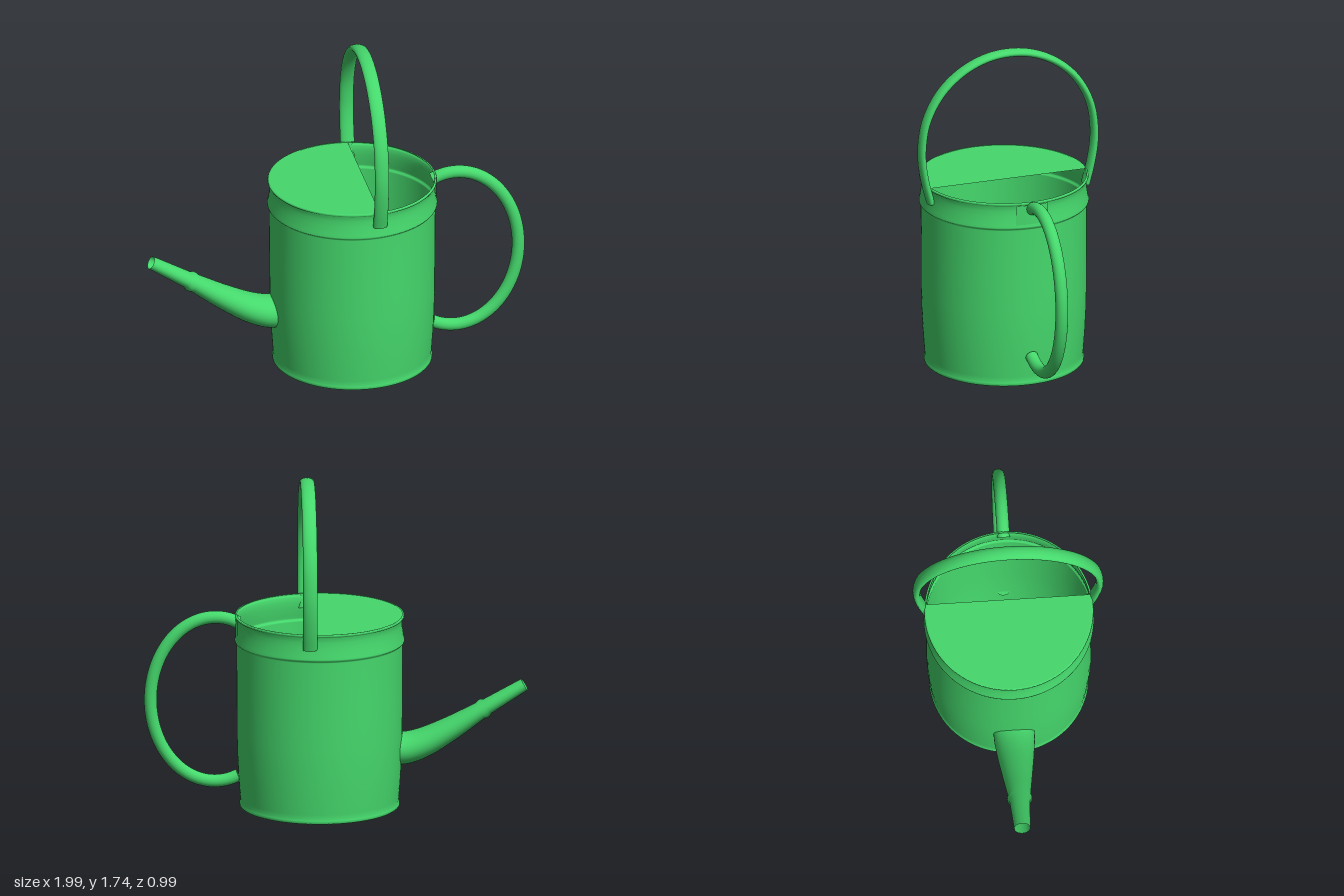
import * as THREE from 'three';

const BODY_X = 0.083;
const v2 = (x, y) => new THREE.Vector2(x, y);
const v3 = (x, y, z) => new THREE.Vector3(x, y, z);

export function createModel() {
  const group = new THREE.Group();
  const material = new THREE.MeshStandardMaterial({ color: 0x45d86c, side: THREE.DoubleSide });
  const add = (name, geometry, x = 0, y = 0, z = 0) => {
    const mesh = new THREE.Mesh(geometry, material);
    mesh.name = name;
    mesh.position.set(x, y, z);
    group.add(mesh);
    return mesh;
  };

  // Can wall: slightly tapered foot, bead below the collar, rolled rim
  const wall = [
    [0.410, 0], [0.415, 0.006], [0.415, 0.018], [0.410, 0.026], [0.412, 0.05],
    [0.420, 0.16], [0.426, 0.28], [0.429, 0.40], [0.430, 0.60], [0.431, 0.868],
    [0.433, 0.874], [0.440, 0.880], [0.441, 0.887], [0.437, 0.900], [0.430, 0.945],
    [0.428, 0.975], [0.429, 1.003], [0.436, 1.007], [0.439, 1.013], [0.437, 1.020], [0.428, 1.020],
  ].map(([r, y]) => v2(r, y));
  add('body', new THREE.LatheGeometry(wall, 96), BODY_X);

  // Floor of the can
  add('bottom', new THREE.CircleGeometry(0.412, 96).rotateX(Math.PI / 2), BODY_X, 0.001);

  // Flat cover closing the spout side of the mouth
  const coverRadius = 0.434;
  const chord = Math.acos(0.062 / coverRadius);
  const coverShape = new THREE.Shape();
  coverShape.absarc(0, 0, coverRadius, chord, 2 * Math.PI - chord, false);
  coverShape.closePath();
  add('cover', new THREE.ShapeGeometry(coverShape, 72).rotateX(-Math.PI / 2), BODY_X, 1.018);

  // Curved reinforcing plate behind the side handle
  add('handlePlate', new THREE.CylinderGeometry(0.437, 0.437, 0.11, 12, 1, true,
    Math.PI / 2 - 0.205, 0.41), BODY_X, 0.95);

  // Tube with flat end caps
  const cappedTube = (name, curve, radius, segments, stretchX = 1) => {
    const part = new THREE.Group();
    part.name = name;
    const tube = new THREE.Mesh(
      new THREE.TubeGeometry(curve, segments, radius, 20).scale(stretchX, 1, 1), material);
    part.add(tube);
    for (const t of [0, 1]) {
      const direction = curve.getTangentAt(t).multiplyScalar(t ? 1 : -1);
      const turn = new THREE.Quaternion().setFromUnitVectors(v3(0, 0, 1), direction);
      const p = curve.getPointAt(t);
      const cap = new THREE.CircleGeometry(radius, 20).applyQuaternion(turn)
        .translate(p.x, p.y, p.z).scale(stretchX, 1, 1);
      part.add(new THREE.Mesh(cap, material));
    }
    group.add(part);
    return part;
  };

  // Side handle: most of an ellipse, both ends meeting the wall
  const sidePoints = [];
  const sweep = 1.94;
  for (let i = 0; i <= 32; i++) {
    const a = sweep - (2 * sweep * i) / 32;
    sidePoints.push(v3(0.625 + 0.335 * Math.cos(a), 0.57 + 0.438 * Math.sin(a), 0));
  }
  cappedTube('sideHandle', new THREE.CatmullRomCurve3(sidePoints), 0.033, 80);

  // Top handle: flattened bar arching from side to side
  const half = [[0.427, 0.94], [0.453, 1.04], [0.472, 1.15], [0.475, 1.24], [0.456, 1.372],
    [0.405, 1.488], [0.336, 1.576], [0.238, 1.651], [0.12, 1.7]];
  const topPoints = [
    ...half.map(([z, y]) => v3(0, y, z)),
    v3(0, 1.715, 0),
    ...half.map(([z, y]) => v3(0, y, -z)).reverse(),
  ];
  cappedTube('topHandle', new THREE.CatmullRomCurve3(topPoints), 0.02, 96, 1.87).position.x = 0.146;

  // Spout: tapering oval tube that bends up and away from the can
  const spoutCurve = new THREE.CatmullRomCurve3([
    v3(-0.30, 0.298, 0), v3(-0.37, 0.303, 0), v3(-0.46, 0.332, 0), v3(-0.60, 0.405, 0),
    v3(-0.76, 0.503, 0), v3(-0.98, 0.635, 0),
  ]);
  const radii = [[0, 0.085], [0.1, 0.083], [0.25, 0.074], [0.42, 0.062], [0.65, 0.046],
    [0.67, 0.051], [0.69, 0.051], [0.705, 0.042], [1, 0.033]];
  const radiusAt = (t) => {
    const i = Math.max(1, radii.findIndex(([k]) => k >= t - 1e-9));
    const [[t0, r0], [t1, r1]] = [radii[i - 1], radii[i]];
    return r0 + ((r1 - r0) * (t - t0)) / (t1 - t0);
  };
  const rings = 100, sides = 32;
  const spout = new THREE.TubeGeometry(spoutCurve, rings, 1, sides);
  const pos = spout.attributes.position;
  const p = v3(0, 0, 0);
  for (let i = 0; i <= rings; i++) {
    const centre = spoutCurve.getPointAt(i / rings);
    for (let j = 0; j <= sides; j++) {
      const k = i * (sides + 1) + j;
      p.fromBufferAttribute(pos, k).sub(centre).multiplyScalar(radiusAt(i / rings)).add(centre);
      pos.setXYZ(k, p.x, p.y, p.z);
    }
  }
  add('spout', spout.scale(1, 1, 1.27));

  return group;
}
